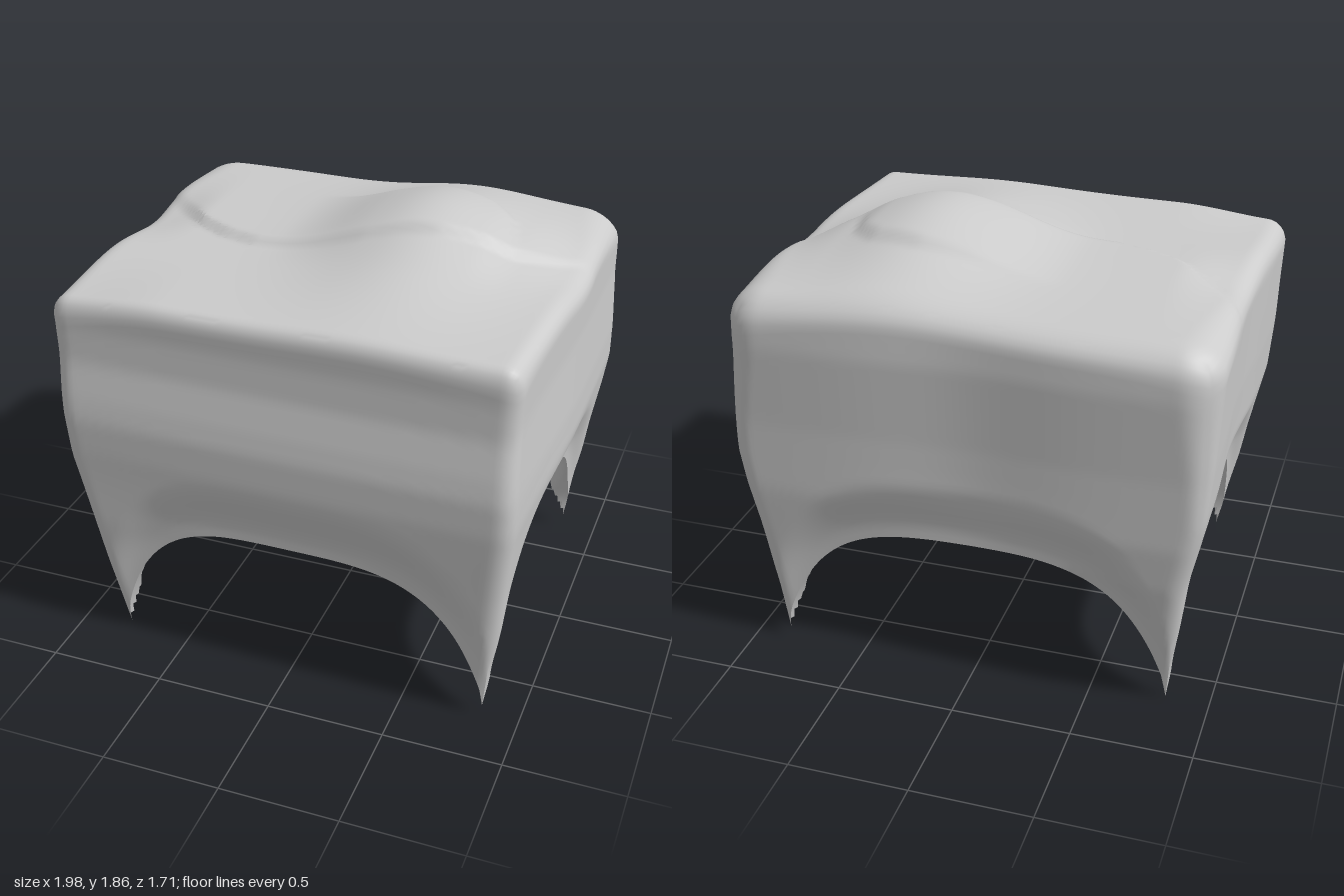
import * as THREE from 'three';
import { mergeVertices, toCreasedNormals } from 'three/addons/utils/BufferGeometryUtils.js';

const { smoothstep, clamp, lerp } = THREE.MathUtils;

// Piecewise-linear lookup through [key, value] points
function along(points, k) {
  if (k <= points[0][0]) return points[0][1];
  for (let i = 1; i < points.length; i++) {
    const [a, va] = points[i - 1], [b, vb] = points[i];
    if (k <= b) return lerp(va, vb, (k - a) / (b - a));
  }
  return points[points.length - 1][1];
}

// How far each wall stands out, by height
const leftWall = [[0, 0.86], [0.3, 0.89], [0.6, 0.93], [0.8, 0.965], [0.95, 0.988], [1.1, 0.99], [1.4, 0.98], [1.65, 0.985]];
const rightWall = [[0, 0.81], [0.3, 0.85], [0.6, 0.89], [0.9, 0.955], [1.15, 0.975], [1.55, 0.995], [1.7, 0.985]];
const frontWall = [[0, 0.76], [0.5, 0.80], [0.8, 0.83], [0.95, 0.845], [1.1, 0.85], [1.2, 0.838], [1.35, 0.81], [1.5, 0.805], [1.65, 0.815]];
const backWall = [[0, 0.73], [0.5, 0.78], [0.8, 0.815], [1.1, 0.825], [1.45, 0.85], [1.65, 0.845]];

// Front edge of the draped fold, and rear edge of the smaller flap on it
const foldEdge = [[-1, -0.34], [-0.9, -0.2], [-0.7, 0], [-0.55, 0.08], [-0.4, 0.12], [0.1, 0.12], [0.4, 0.08], [0.7, 0], [0.97, -0.2]];
const flapEdge = [[-0.15, -0.43], [0.3, -0.43], [0.52, -0.37], [0.62, -0.28], [0.68, -0.1]];

// Top: gentle mound with two low creased steps, a sagging front corner and dips where the fold meets the sides
function topHeight(x, z) {
  const mound = 0.145 * Math.exp(-(((x - 0.33) / 0.37) ** 2) - ((z + 0.11) / 0.6) ** 2);
  const fold = 0.035 * smoothstep(along(foldEdge, x) - z, -0.02, 0.04)
    * smoothstep(z, -0.85, -0.1) * (1 - 0.7 * smoothstep(Math.abs(x), 0.7, 1));
  const flap = 0.028 * smoothstep(z - along(flapEdge, x), -0.03, 0.04)
    * smoothstep(x, -0.3, 0.1) * (1 - smoothstep(x, 0.56, 0.74)) * (1 - smoothstep(z, 0, 0.35));
  const sag = 0.035 * smoothstep(-x, 0.5, 1) * smoothstep(z, 0.2, 0.8);
  const dip = 0.035 * smoothstep(Math.abs(x), 0.7, 1) * Math.exp(-(((z + 0.08) / 0.22) ** 2));
  return 1.65 + mound + fold + flap - sag - dip;
}

// Underside: shallow ceiling with thin curtains dropping to a pointed leg at each corner
function bottomHeight(u, w) {
  const a = Math.abs(u), b = Math.abs(w);
  const tip = u > 0 ? 0.05 : w > 0 ? 0.03 : 0;
  const rim = Math.hypot(Math.max(a - 0.7, 0), Math.max(b - 0.7, 0));
  const ceiling = 0.655 - 0.03 * smoothstep(rim, 0.05, 0.3);
  return lerp(ceiling, tip, Math.min(a, b) ** 3.7 * clamp((rim - 0.16) / 0.14, 0, 1));
}

// Pull a point of the unit cube in to round its upright and top edges, more so at the back
function roundEdges(p) {
  const soft = smoothstep(-p.z, 0.3, 0.9) * smoothstep(p.y, 0, 1);
  const r = 0.08 + 0.09 * soft, rv = 0.13 + 0.05 * soft;
  const ix = clamp(p.x, r - 1, 1 - r), iz = clamp(p.z, r - 1, 1 - r), iy = Math.min(p.y, 1 - rv);
  const d = new THREE.Vector3((p.x - ix) / r, (p.y - iy) / rv, (p.z - iz) / r);
  const reach = Math.max(Math.abs(d.x), Math.abs(d.y), Math.abs(d.z));
  if (reach > 0) d.setLength(reach);
  return new THREE.Vector3(ix + d.x * r, iy + d.y * rv, iz + d.z * r);
}

function bodyGeometry() {
  let geo = new THREE.BoxGeometry(2, 2, 2, 90, 36, 90);
  geo.deleteAttribute('uv');
  geo.deleteAttribute('normal');
  geo = mergeVertices(geo);
  const pos = geo.attributes.position;
  const raw = new THREE.Vector3();
  for (let i = 0; i < pos.count; i++) {
    raw.fromBufferAttribute(pos, i);
    const p = roundEdges(raw);
    const low = bottomHeight(raw.x, raw.z);
    const y = lerp(low, topHeight(p.x, p.z * 0.83), (p.y + 1) / 2);
    // walls tuck under just above the arched hem
    const tuck = 1 - smoothstep(y - low, 0.04, 0.3);
    let x = p.x * along(p.x > 0 ? leftWall : rightWall, y) * (1 - 0.06 * tuck * (1 - raw.z ** 4));
    let z = p.z * along(p.z > 0 ? frontWall : backWall, y) * (1 - 0.07 * tuck * (1 - raw.x ** 4));
    // uneven walls: narrower at the front left, skewed front, hollow in the back and right
    const upper = smoothstep(y, 0.3, 1);
    if (p.x > 0) x -= 0.04 * p.x * smoothstep(p.z, -0.2, 1) * upper;
    else x -= 0.025 * p.x * Math.exp(-(((p.z + 0.1) / 0.4) ** 2)) * upper;
    if (p.z > 0) z += 0.02 * p.z * (p.x - 0.5) * upper;
    else z -= 0.03 * p.z * Math.exp(-((p.x / 0.35) ** 2)) * upper;
    // the two right legs lean in slightly
    if (p.x < 0) {
      const lean = Math.max(0, 1 - y / 0.6);
      x += 0.025 * p.z * lean;
      z -= (p.z > 0 ? 0.03 : 0.06) * p.z * lean;
    }
    pos.setXYZ(i, x, y, z);
  }
  return toCreasedNormals(geo, 0.6);
}

export function createModel() {
  const group = new THREE.Group();
  group.name = 'drapedStool';
  const body = new THREE.Mesh(bodyGeometry(), new THREE.MeshStandardMaterial({ color: 0xcccccc }));
  body.name = 'drapedBodyWithLegs';
  group.add(body);
  return group;
}
